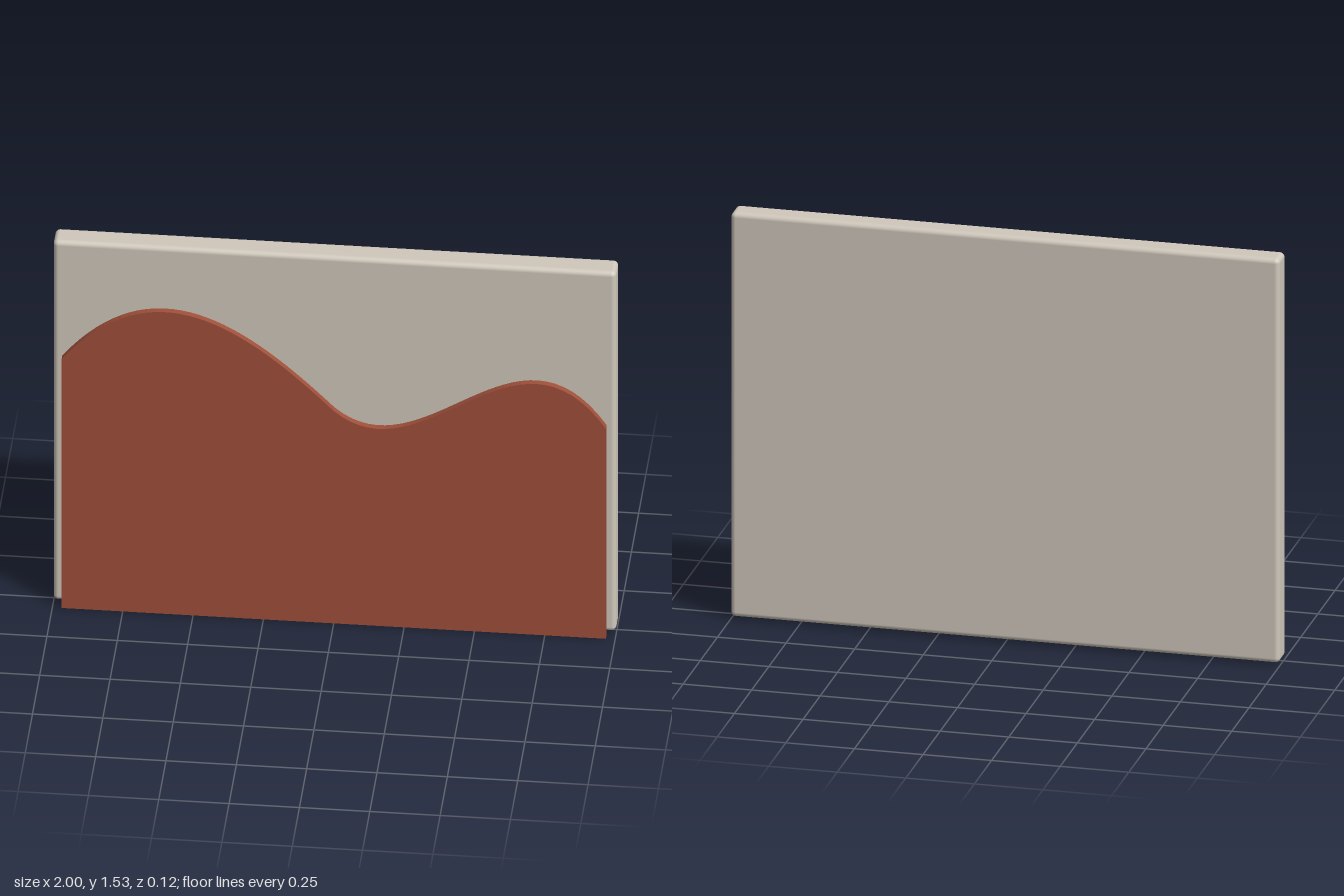
import * as THREE from 'three';
import { RoundedBoxGeometry } from 'three/addons/geometries/RoundedBoxGeometry.js';

export function createModel() {
  const group = new THREE.Group();

  // Upright slab with softly rounded edges
  const board = new THREE.Mesh(
    new RoundedBoxGeometry(2, 1.52, 0.094, 4, 0.018),
    new THREE.MeshStandardMaterial({ color: 0xd0c8bc })
  );
  board.name = 'backBoard';
  board.position.set(0, 0.77, -0.015);
  group.add(board);

  // Thin panel with a wavy top edge, set just in front of the slab
  const w = 0.967, third = w / 3;
  const outline = new THREE.Shape();
  outline.moveTo(-w, 0);
  outline.lineTo(w, 0);
  outline.lineTo(w, 0.89);
  outline.bezierCurveTo(2 * third, 1.391, third, 0.614, 0, 0.9);
  outline.bezierCurveTo(-third, 1.235, -2 * third, 1.473, -w, 1.055);
  outline.closePath();
  const panel = new THREE.Mesh(
    new THREE.ExtrudeGeometry(outline, { depth: 0.024, bevelEnabled: false, curveSegments: 32 }),
    new THREE.MeshStandardMaterial({ color: 0xa0503a })
  );
  panel.name = 'wavyFrontPanel';
  panel.position.z = 0.039;
  group.add(panel);

  return group;
}
